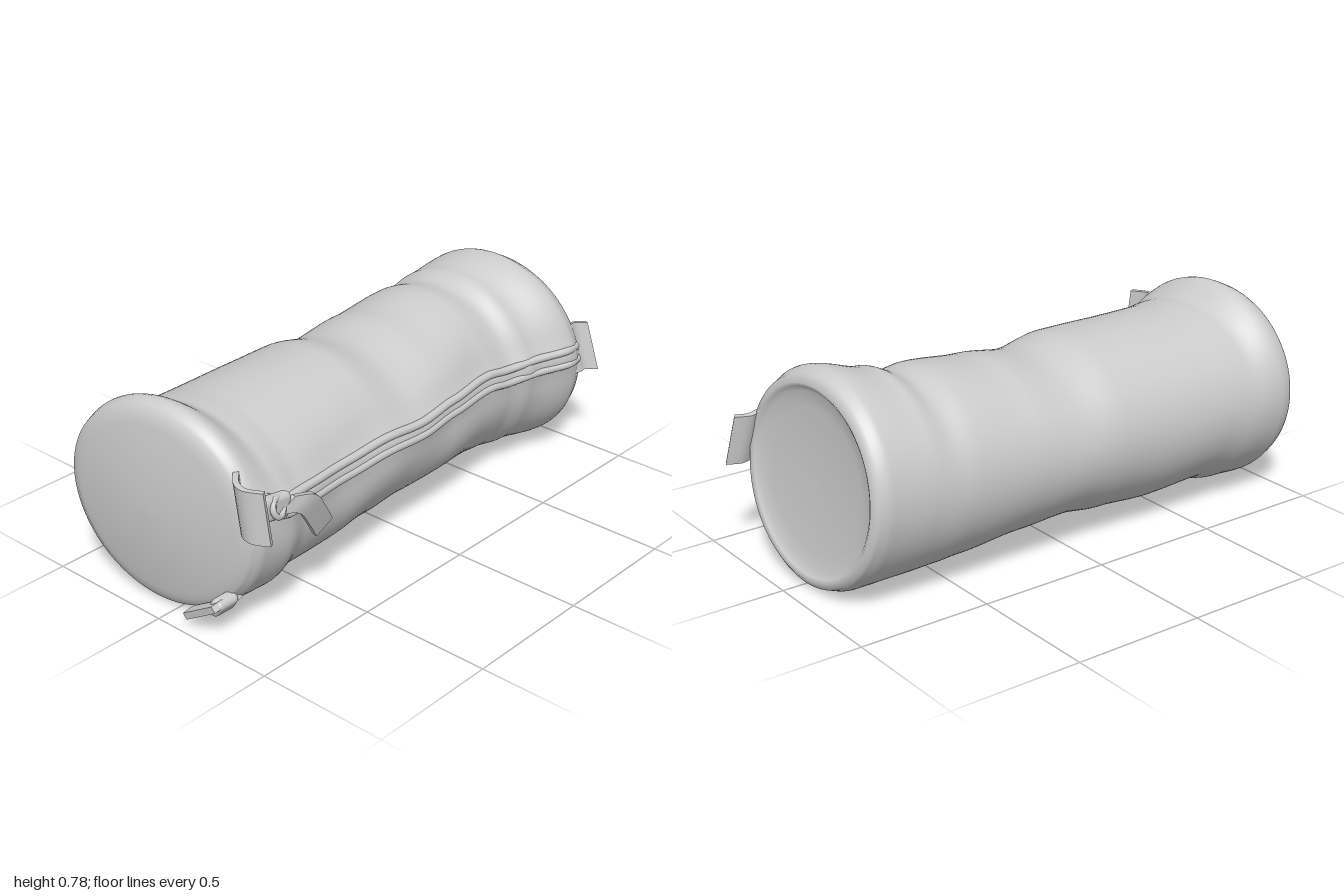
import * as THREE from 'three';
import { RoundedBoxGeometry } from 'three/addons/geometries/RoundedBoxGeometry.js';
import { toCreasedNormals } from 'three/addons/utils/BufferGeometryUtils.js';

const material = new THREE.MeshStandardMaterial({ color: 0xcccccc, side: THREE.DoubleSide });
const V = (x, y, z) => new THREE.Vector3(x, y, z);
const smooth = THREE.MathUtils.smoothstep;

// Skin a list of closed rings of points
function loft(rings) {
  const n = rings[0].length, pos = [], idx = [];
  rings.forEach(r => r.forEach(p => pos.push(p.x, p.y, p.z)));
  for (let i = 0; i < rings.length - 1; i++)
    for (let j = 0; j < n; j++) {
      const k = (j + 1) % n, a = i * n + j, b = a + n, c = (i + 1) * n + k, d = i * n + k;
      idx.push(a, b, c, a, c, d);
    }
  const g = new THREE.BufferGeometry();
  g.setAttribute('position', new THREE.Float32BufferAttribute(pos, 3));
  g.setIndex(idx);
  g.computeVertexNormals();
  return g;
}

// Sagging outline along the length: x, top, bottom, front, back
const stations = [
  [-0.94, 0.73, 0.05, 0.30, -0.40],
  [-0.925, 0.765, 0.02, 0.335, -0.435],
  [-0.88, 0.78, 0.005, 0.355, -0.445],
  [-0.75, 0.715, 0.015, 0.36, -0.442],
  [-0.64, 0.71, 0.04, 0.34, -0.44],
  [-0.4, 0.712, 0.03, 0.325, -0.44],
  [-0.18, 0.712, 0.045, 0.318, -0.438],
  [0, 0.678, 0.068, 0.315, -0.436],
  [0.2, 0.705, 0.055, 0.305, -0.434],
  [0.45, 0.73, 0.035, 0.28, -0.431],
  [0.55, 0.718, 0.03, 0.28, -0.43],
  [0.65, 0.75, 0.02, 0.305, -0.429],
  [0.84, 0.785, 0.005, 0.36, -0.425],
  [0.89, 0.765, 0.02, 0.345, -0.415],
  [0.905, 0.735, 0.045, 0.32, -0.39],
];
const X0 = stations[0][0], X1 = stations[stations.length - 1][0];

function outlineAt(x) {
  let i = 0;
  while (i < stations.length - 2 && x > stations[i + 1][0]) i++;
  const a = stations[i], b = stations[i + 1];
  const t = THREE.MathUtils.clamp((x - a[0]) / (b[0] - a[0]), 0, 1);
  const s = i === 0 || i === stations.length - 2 ? t : t * t * (3 - 2 * t);
  return a.map((v, k) => v + (b[k] - v) * s);
}

// Angle of the zip above the front centre line
const zipAngle = x => 0.24 - 0.1 * smooth(x, 0.3, 0.9) + 0.05 * smooth(-x, 0.6, 0.85);

// Point on the pouch: x along it, a around it (0 front, PI/2 top)
function surface(x, a, lift = 0) {
  const [, top, bottom, front, back] = outlineAt(x);
  const c = Math.cos(a), s = Math.sin(a);
  const mid = Math.max(0, 1 - (x / 0.9) ** 2);
  const fold = mid * 0.005 * Math.sin(5 * a - 9 * x) * Math.max(0, c);
  const d = Math.atan2(Math.sin(a - zipAngle(x)), Math.cos(a - zipAngle(x)));
  const seam = 0.016 * Math.exp(-((d / 0.13) ** 2)) * smooth(0.93 - Math.abs(x), 0, 0.15);
  const r = 1 + (fold + seam + lift) / 0.38;
  const left = smooth(-x, 0.4, 0.93), right = smooth(x, 0.4, 0.9);
  return V(
    x + left * (0.042 * c - 0.01 * s) + right * (0.022 * c - 0.03 * s),
    (top + bottom) / 2 + s * r * (top - bottom) / 2,
    (front + back) / 2 + c * r * (front - back) / 2);
}

function ringAt(x) {
  return Array.from({ length: 96 }, (_, j) => surface(x, j / 96 * Math.PI * 2));
}

// Shrink an end ring toward its centre, pushing it along x
function capRing(ring, s, dx) {
  const centre = ring.reduce((m, p) => m.add(p), V(0, 0, 0)).divideScalar(ring.length);
  return ring.map(p => p.clone().sub(centre).multiplyScalar(s).add(centre).add(V(dx, 0, 0)));
}

// Flat strap following a path, with a fixed width direction
function strap(points, width, thickness) {
  const curve = new THREE.CatmullRomCurve3(points), rings = [], N = 12;
  const half = width.clone().multiplyScalar(0.5);
  for (let i = 0; i <= N; i++) {
    const p = curve.getPoint(i / N);
    const n = curve.getTangent(i / N).cross(width).setLength(thickness / 2);
    const ring = [[1, 1], [1, -1], [-1, -1], [-1, 1]].map(([u, v]) =>
      p.clone().addScaledVector(half, u).addScaledVector(n, v));
    const end = ring.map(() => p.clone());
    if (i === 0) rings.push(end);
    rings.push(ring);
    if (i === N) rings.push(end);
  }
  return toCreasedNormals(loft(rings), 0.7);
}

export function createModel() {
  const group = new THREE.Group();
  const add = (name, geometry) => {
    const mesh = new THREE.Mesh(geometry, material);
    mesh.name = name;
    group.add(mesh);
    return mesh;
  };

  // Soft tube body: one end bulges out, the other is dished
  const first = ringAt(X0), last = ringAt(X1);
  const rings = [0.001, 0.2, 0.4, 0.6, 0.8, 0.93].map(s => capRing(first, s, -0.035 * (1 - s * s)));
  for (let i = 0; i <= 140; i++) rings.push(ringAt(X0 + (X1 - X0) * i / 140));
  [[0.96, -0.008], [0.91, -0.022], [0.75, -0.03], [0.5, -0.036], [0.25, -0.039], [0.001, -0.04]]
    .forEach(([s, d]) => rings.push(capRing(last, s, d)));
  add('pouchBody', loft(rings));

  // Zip: two soft lips along the front, half sunk into the seam
  for (const side of [-1, 1]) {
    const path = [];
    for (let i = 0; i <= 24; i++) {
      const x = -0.84 + 1.72 * i / 24;
      path.push(surface(x, zipAngle(x) + side * 0.07, -0.006));
    }
    add(side > 0 ? 'zipUpperLip' : 'zipLowerLip',
      new THREE.TubeGeometry(new THREE.CatmullRomCurve3(path), 60, 0.016, 10));
  }

  // Zip slider, ring and hanging pull
  const slider = add('zipSlider', new RoundedBoxGeometry(0.13, 0.09, 0.045, 3, 0.02));
  slider.position.set(-0.8, 0.495, 0.362);
  slider.rotation.z = -0.15;
  const ring = add('zipRing', new THREE.TorusGeometry(0.032, 0.011, 8, 20));
  ring.position.set(-0.8, 0.5, 0.382);
  ring.rotation.set(-0.3, 0.3, 0);
  add('zipPull', strap([V(-0.76, 0.49, 0.375), V(-0.68, 0.47, 0.39), V(-0.62, 0.4, 0.375), V(-0.56, 0.315, 0.352)],
    V(0.07, 0.045, 0.01), 0.02));

  // Fabric tabs at the ends
  add('leftEndTab', strap([V(0.84, 0.46, 0.32), V(0.9, 0.455, 0.325), V(0.94, 0.45, 0.32), V(0.985, 0.445, 0.35)],
    V(0.018, -0.19, 0.05), 0.02));
  add('rightEndTab', strap([V(-0.87, 0.525, 0.28), V(-0.925, 0.525, 0.34), V(-0.93, 0.522, 0.38), V(-0.9, 0.52, 0.435)],
    V(0.01, -0.19, 0.02), 0.02));
  add('lowerTab', strap([V(-0.85, 0.1, 0.18), V(-0.9, 0.092, 0.18), V(-0.94, 0.105, 0.185), V(-0.98, 0.095, 0.18)],
    V(0, -0.085, -0.14), 0.026));
  const fold = add('lowerTabFold', new RoundedBoxGeometry(0.1, 0.07, 0.05, 3, 0.02));
  fold.position.set(-0.915, 0.125, 0.23);
  fold.rotation.x = 0.6;

  return group;
}
